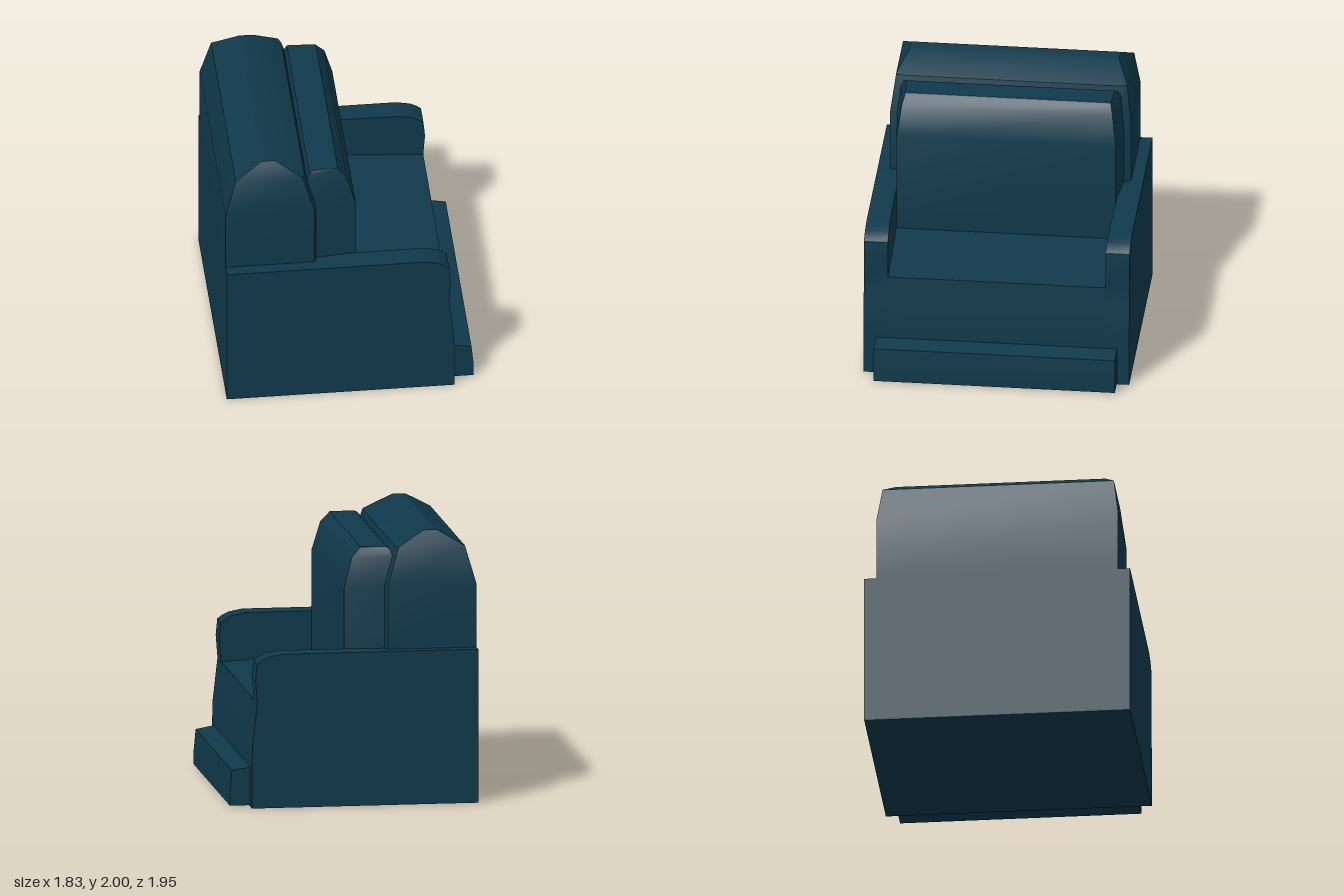
import * as THREE from 'three';
import { toCreasedNormals } from 'three/addons/utils/BufferGeometryUtils.js';

const upholstery = new THREE.MeshStandardMaterial({ color: 0x10394b });
upholstery.name = 'dark teal upholstery';

function part(name, geometry) {
  const mesh = new THREE.Mesh(toCreasedNormals(geometry, 0.5), upholstery);
  mesh.name = name;
  return mesh;
}

// Side profile (x, y) spanning z from near(x) to far(x)
function prism(profile, near, far) {
  const shape = new THREE.Shape(profile.map(([x, y]) => new THREE.Vector2(x, y)));
  const g = new THREE.ExtrudeGeometry(shape, { depth: 1, bevelEnabled: false });
  const p = g.attributes.position;
  for (let i = 0; i < p.count; i++) {
    const x = p.getX(i);
    p.setZ(i, p.getZ(i) < 0.5 ? near(x) : far(x));
  }
  return g;
}

// Stacked horizontal loops: each half is [x, z] points from rear to front, mirrored in z
function loft(levels) {
  const loops = levels.map(({ y, half }) => [
    ...half.map(([x, z]) => [x, y, z]),
    ...half.slice().reverse().map(([x, z]) => [x, y, -z]),
  ]);
  const n = loops[0].length;
  const index = [];
  for (let l = 0; l < loops.length - 1; l++) {
    for (let i = 0; i < n; i++) {
      const a = l * n + i, b = l * n + (i + 1) % n;
      index.push(a, b, b + n, a, b + n, a + n);
    }
  }
  const top = (loops.length - 1) * n;
  for (let i = 1; i < n - 1; i++) {
    index.push(top, top + i, top + i + 1, 0, i + 1, i);
  }
  const g = new THREE.BufferGeometry();
  g.setAttribute('position', new THREE.Float32BufferAttribute(loops.flat(2), 3));
  g.setIndex(index);
  return g.toNonIndexed();
}

export function createModel() {
  const chair = new THREE.Group();
  chair.name = 'armchair';

  // The arms grow slightly thicker towards the front
  const inner = (x) => 0.82 - 0.02 * THREE.MathUtils.clamp((x + 0.26) / 0.98, 0, 1);
  const front = [[0.76, 0], [0.76, 0.3], [0.755, 0.47], [0.737, 0.63], [0.72, 0.78]];

  // Arms
  const armProfile = [[-0.915, 0], ...front,
    [0.733, 0.95], [0.722, 1.07], [0.69, 1.095], [0.64, 1.12], [0.54, 1.14], [-0.915, 1.14]];
  chair.add(part('leftSideArm', prism(armProfile, inner, () => 0.977)));
  chair.add(part('rightSideArm', prism(armProfile, () => -0.977, (x) => -inner(x))));

  // Seat and lower back between the arms
  const seatProfile = [[-0.915, 0], ...front, [0.05, 0.82], [-0.26, 0.83], [-0.26, 1.14], [-0.915, 1.14]];
  chair.add(part('seat', prism(seatProfile, (x) => -inner(x), inner)));

  // Footrest
  const footProfile = [[0.74, 0.01], [0.91, 0.01], [0.91, 0.11], [0.895, 0.27], [0.74, 0.298]];
  chair.add(part('footrest', prism(footProfile, () => -0.887, () => 0.887)));

  // Backrest with chamfered front corners
  chair.add(part('backrest', loft([
    { y: 1.14, half: [[-0.915, 0.887], [-0.26, 0.887], [-0.243, 0.835]] },
    { y: 1.61, half: [[-0.915, 0.887], [-0.26, 0.887], [-0.243, 0.835]] },
    { y: 1.89, half: [[-0.835, 0.85], [-0.345, 0.85], [-0.325, 0.8]] },
    { y: 2.0, half: [[-0.64, 0.77], [-0.54, 0.77], [-0.539, 0.76]] },
  ])));

  // Back cushion
  chair.add(part('backCushion', loft([
    { y: 0.8, half: [[-0.245, 0.835], [0.052, 0.805]] },
    { y: 1.59, half: [[-0.245, 0.835], [0.052, 0.805]] },
    { y: 1.81, half: [[-0.31, 0.812], [-0.01, 0.775]] },
    { y: 1.87, half: [[-0.285, 0.785], [-0.065, 0.758]] },
    { y: 1.885, half: [[-0.26, 0.768], [-0.075, 0.755]] },
  ])));

  return chair;
}
